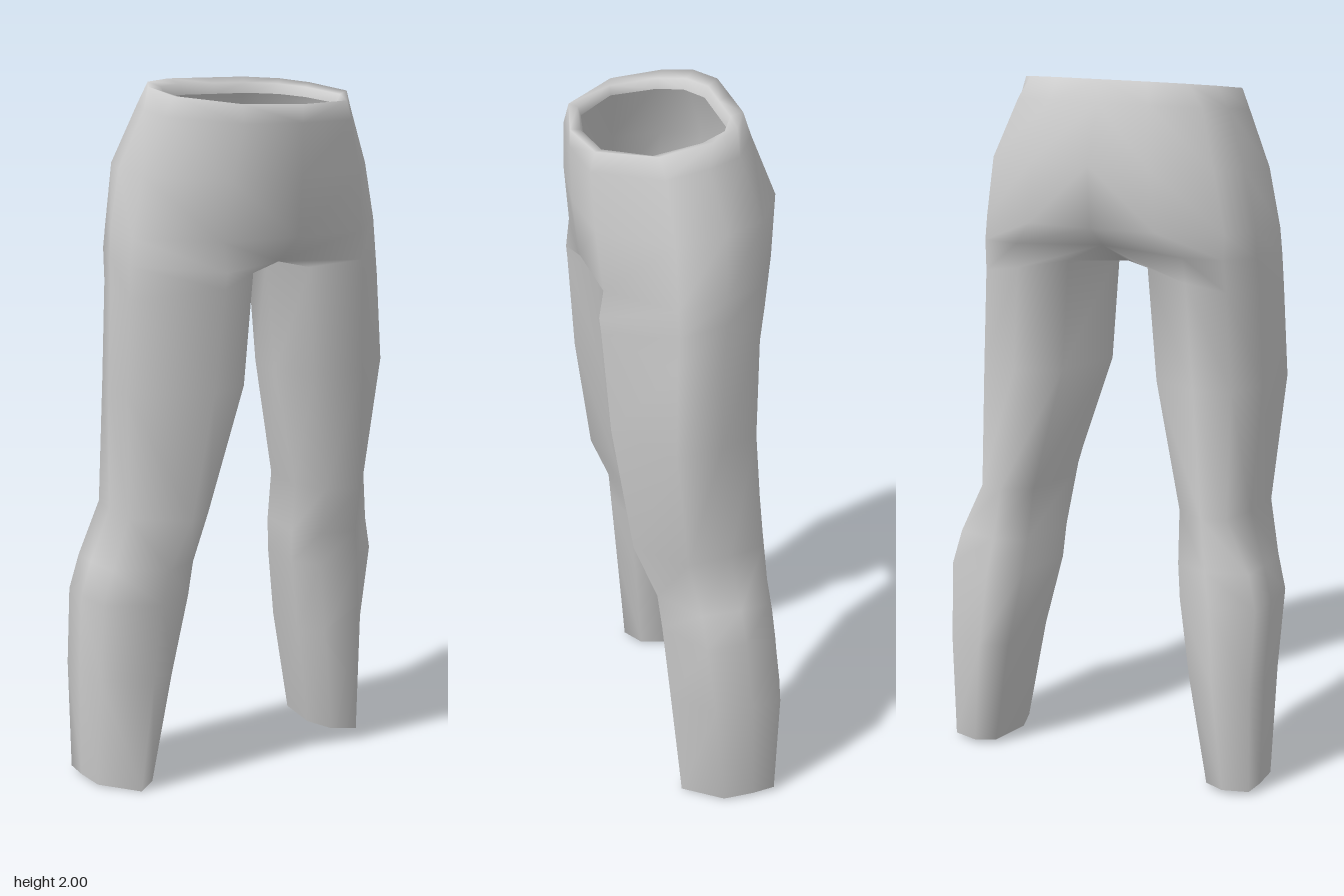
import * as THREE from 'three';
import { mergeVertices } from 'three/addons/utils/BufferGeometryUtils.js';

// Unit sections [across, depth]: front middle, round the outside, to the back;
// the leg sections end with one point on the inner thigh
const WAIST = [[0, 1], [0.6, 0.82], [1, 0], [0.94, -0.55], [0.77, -0.84], [0.44, -1], [0, -1]];
const HIP = [[0, 1], [0.57, 0.9], [1, 0], [0.95, -0.42], [0.83, -0.74], [0.44, -0.97], [0, -1]];
const THIGH = [[-0.72, 0.62], [0, 1], [1, 0], [0.87, -0.5], [0.6, -0.92], [0.05, -1], [-0.62, -0.8], [-1, -0.1]];
const CALF = [[-0.7, 0.62], [0.08, 1], [1, 0], [0.99, -0.5], [0.88, -0.88], [0, -1], [-0.68, -0.85], [-1, -0.1]];

// Scales a unit section; y slopes from front to back, and rise lifts the inner side
function makeRing(section, { inner, outer, front, back, mid, yFront, yBack = yFront, rise = 0 }) {
  return section.map(([u, v]) => {
    const z = mid + v * (v > 0 ? front - mid : mid - back);
    const t = (z - back) / (front - back);
    const x = (inner + outer) / 2 + u * (outer - inner) / 2;
    return [x, yBack + (yFront - yBack) * t - u * rise, z];
  });
}

const hipRing = (section, outer, front, back, mid, yFront, yBack) =>
  makeRing(section, { inner: -outer, outer, front, back, mid, yFront, yBack });

const legRing = (section, inner, outer, front, back, mid, yFront, yBack, rise) =>
  makeRing(section, { inner, outer, front, back, mid, yFront, yBack, rise });

// Section where the body divides; its inner points lie on the middle line
function crotchRing() {
  const ring = legRing(THIGH, 0.04, 0.438, 0.24, -0.2, 0.07, 1.5, 1.54);
  ring[0] = [0, 1.505, 0.16];
  ring[6] = [0, 1.55, -0.17];
  ring[7] = [0, 1.475, 0];
  return ring;
}

function trouserGeometry() {
  const rings = [
    // waistband lining, rim and hips
    hipRing(WAIST, 0.262, 0.226, -0.132, 0.1, 1.915, 1.955),
    hipRing(WAIST, 0.27, 0.235, -0.142, 0.1, 1.938, 1.985),
    hipRing(WAIST, 0.304, 0.263, -0.172, 0.09, 1.94, 2.0),
    hipRing(HIP, 0.33, 0.264, -0.2, 0.08, 1.89, 1.94),
    hipRing(HIP, 0.395, 0.262, -0.264, 0.07, 1.74, 1.78),
    hipRing(HIP, 0.43, 0.246, -0.252, 0.07, 1.58, 1.61),
    crotchRing(),
    // thigh, knee, calf and hem
    legRing(THIGH, 0.045, 0.443, 0.236, -0.188, 0.075, 1.455, 1.47, 0.035),
    legRing(THIGH, 0.072, 0.458, 0.218, -0.18, 0.08, 1.17),
    legRing(THIGH, 0.182, 0.432, 0.168, -0.205, 0.04, 0.81),
    legRing(CALF, 0.194, 0.468, 0.108, -0.217, 0.01, 0.66),
    legRing(CALF, 0.202, 0.495, 0.098, -0.23, 0, 0.56),
    legRing(CALF, 0.252, 0.488, 0.078, -0.252, -0.03, 0.33),
    legRing(CALF, 0.315, 0.484, 0.05, -0.236, -0.06, 0.0, 0.012),
    // turned-in hem
    legRing(CALF, 0.337, 0.458, 0.015, -0.205, -0.06, 0.006, 0.016),
    legRing(CALF, 0.335, 0.455, 0.015, -0.205, -0.06, 0.04),
  ];
  const positions = [], index = [];
  for (const side of [1, -1]) {
    const starts = rings.map((ring) => {
      const start = positions.length / 3;
      for (const [x, y, z] of ring) positions.push(x * side, y, z);
      return start;
    });
    const face = (a, b, c) => (side > 0 ? index.push(a, b, c) : index.push(a, c, b));
    for (let i = 0; i < rings.length - 1; i++) {
      const closed = rings[i].length === 8;
      for (let k = 0; k < (closed ? 8 : 6); k++) {
        const n = closed ? (k + 1) % 8 : k + 1;
        const a = starts[i] + k, b = starts[i] + n;
        const c = starts[i + 1] + k, d = starts[i + 1] + n;
        face(a, c, b);
        face(b, c, d);
      }
    }
  }
  const geometry = new THREE.BufferGeometry();
  geometry.setAttribute('position', new THREE.Float32BufferAttribute(positions, 3));
  geometry.setIndex(index);
  // weld the two halves along the middle line for smooth shading
  const welded = mergeVertices(geometry, 1e-4);
  welded.computeVertexNormals();
  return welded;
}

export function createModel() {
  const group = new THREE.Group();
  group.name = 'trousers';
  const cloth = new THREE.MeshStandardMaterial({ color: 0xcccccc, side: THREE.DoubleSide });
  cloth.name = 'grey cloth';
  const mesh = new THREE.Mesh(trouserGeometry(), cloth);
  mesh.name = 'trouserCloth';
  group.add(mesh);
  return group;
}
